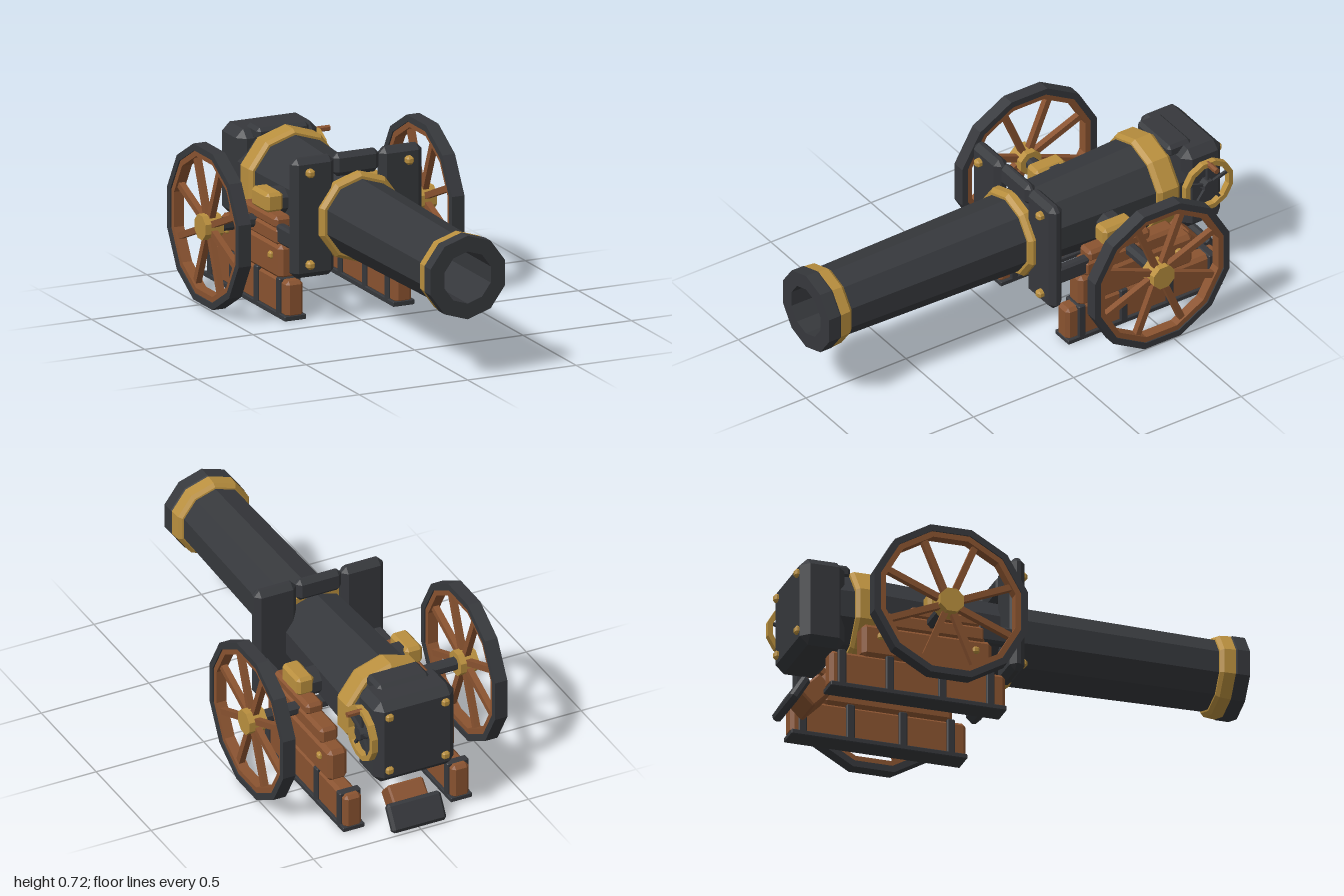
import * as THREE from 'three';
import { ConvexGeometry } from 'three/addons/geometries/ConvexGeometry.js';

const paint = (color) => new THREE.MeshStandardMaterial({ color, flatShading: true });
const iron = paint(0x36383c), gold = paint(0xb98f3e), wood = paint(0x8a5330);

export function createModel() {
  const model = new THREE.Group();

  function add(name, geometry, material, x = 0, y = 0, z = 0, parent = model) {
    const mesh = new THREE.Mesh(geometry, material);
    mesh.name = name;
    mesh.position.set(x, y, z);
    parent.add(mesh);
    return mesh;
  }

  // Box with all edges cut at 45 degrees
  function chamferBox(w, h, d, c) {
    const points = [];
    for (const x of [-1, 1]) for (const y of [-1, 1]) for (const z of [-1, 1]) {
      const [a, b, e] = [w / 2, h / 2, d / 2];
      points.push(new THREE.Vector3(x * a, y * (b - c), z * (e - c)));
      points.push(new THREE.Vector3(x * (a - c), y * b, z * (e - c)));
      points.push(new THREE.Vector3(x * (a - c), y * (b - c), z * e));
    }
    return new ConvexGeometry(points);
  }

  // Chamfered box given by its limits on each axis
  function block(name, material, [x0, x1], [y0, y1], [z0, z1], c = 0.01) {
    return add(name, chamferBox(x1 - x0, y1 - y0, z1 - z0, c), material,
      (x0 + x1) / 2, (y0 + y1) / 2, (z0 + z1) / 2);
  }

  const lathe = (profile, sides, phase = 0) =>
    new THREE.LatheGeometry(profile.map(([r, t]) => new THREE.Vector2(r, t)), sides, phase);

  // Ten-sided turned part along z; profile is [radius, z] from back to front
  const turned = (name, material, profile) =>
    add(name, lathe(profile, 10).rotateX(Math.PI / 2), material, 0, 0.45, 0);

  // Polygonal ring around the x axis; radii measured to the flats
  function ring(outer, inner, width, sides) {
    const k = 1 / Math.cos(Math.PI / sides), h = width / 2;
    const [o, i] = [outer * k, inner * k];
    return lathe([[i, -h], [o, -h], [o, h], [i, h], [i, -h]], sides, Math.PI / sides)
      .rotateZ(Math.PI / 2);
  }

  const rod = (r, length, sides) =>
    new THREE.CylinderGeometry(r, r, length, sides, 1, false, Math.PI / sides).rotateZ(Math.PI / 2);

  // Spokes spread around the x axis
  function spokes(parent, name, material, count, from, to, size, phase) {
    for (let i = 0; i < count; i++) {
      const geometry = new THREE.BoxGeometry(size, to - from, size).translate(0, (from + to) / 2, 0);
      add(name, geometry, material, 0, 0, 0, parent).rotation.x = phase + i * 2 * Math.PI / count;
    }
  }

  // Barrel with open bore
  turned('barrel', iron, [
    [0, -0.8], [0.19, -0.8], [0.195, -0.63], [0.168, -0.02], [0.153, 0.88], [0.165, 0.9],
    [0.18, 0.945], [0.18, 1], [0.112, 1], [0.112, 0.55], [0, 0.55]]);
  turned('muzzleBand', gold, [[0.14, 0.87], [0.16, 0.875], [0.174, 0.89], [0.178, 0.94], [0.14, 0.945]]);
  turned('middleBand', gold, [[0.15, -0.04], [0.195, -0.04], [0.195, -0.012], [0.18, 0.005], [0.15, 0.005]]);
  turned('breechBand', gold, [[0.17, -0.735], [0.205, -0.735], [0.217, -0.72], [0.217, -0.645],
    [0.205, -0.625], [0.17, -0.625]]);

  // Breech block, with its top plate and rear bolts
  block('breechBlock', iron, [-0.187, 0.187], [0.25, 0.643], [-0.967, -0.77], 0.035);
  block('breechTopPlate', iron, [-0.12, 0.12], [0.6, 0.658], [-0.85, -0.73], 0.015);
  for (const x of [-0.13, 0.13]) for (const y of [0.32, 0.58])
    block('breechBolt', gold, [x - 0.017, x + 0.017], [y - 0.017, y + 0.017], [-0.983, -0.955], 0.008);

  // Aiming handwheel on the left side of the breech
  const handwheel = new THREE.Group();
  handwheel.name = 'handwheel';
  handwheel.position.set(0.207, 0.47, -0.868);
  model.add(handwheel);
  add('handwheelRing', ring(0.118, 0.096, 0.028, 12), gold, 0, 0, 0, handwheel);
  add('handwheelHub', rod(0.03, 0.05, 8), iron, -0.005, 0, 0, handwheel);
  spokes(handwheel, 'handwheelSpoke', iron, 5, 0.02, 0.1, 0.012, 0);
  add('handwheelHandle', rod(0.013, 0.07, 6), wood, 0.035, 0.108, 0, handwheel);

  // Shield centre plate
  block('shieldCentrePlate', iron, [-0.105, 0.105], [0.625, 0.725], [-0.085, -0.035], 0.02);

  // Axle through the carriage
  add('axle', rod(0.029, 0.96, 8), iron, 0, 0.365, -0.43);
  add('trunnion', rod(0.06, 0.46, 8), iron, 0, 0.45, -0.39);

  for (const s of [-1, 1]) {
    const span = (a, b) => (s > 0 ? [a, b] : [-b, -a]);

    // Shield plate with bolts and rear bracket
    block('shieldPlate', iron, span(0.105, 0.3), [0.21, 0.725], [-0.09, -0.025], 0.024);
    for (const y of [0.27, 0.665])
      block('shieldBolt', gold, span(0.21, 0.246), [y - 0.018, y + 0.018], [-0.04, 0.002], 0.01);
    block('shieldBracket', iron, span(0.24, 0.285), [0.32, 0.4], [-0.23, -0.07]);

    // Skid with base plate and straps
    block('skid', wood, span(0.21, 0.29), [0.02, 0.178], [-0.88, -0.11], 0.015);
    block('skidBase', iron, span(0.2, 0.3), [0.01, 0.032], [-0.88, -0.11], 0.003);
    for (const z of [-0.18, -0.39, -0.62, -0.83])
      block('skidStrap', iron, span(0.2, 0.3), [0.01, 0.182], [z - 0.018, z + 0.018], 0.005);

    // Stepped carriage cheek
    block('cheekLower', wood, span(0.205, 0.295), [0.17, 0.32], [-0.74, -0.17], 0.018);
    block('cheekUpper', wood, span(0.208, 0.292), [0.31, 0.385], [-0.66, -0.2], 0.014);
    block('cheekTop', wood, span(0.21, 0.29), [0.375, 0.43], [-0.53, -0.22], 0.014);
    block('trunnionCap', gold, span(0.212, 0.292), [0.425, 0.51], [-0.45, -0.295], 0.014);
    for (const z of [-0.245, -0.66])
      block('cheekBolt', gold, span(0.285, 0.309), [0.25, 0.28], [z - 0.015, z + 0.015], 0.007);

    // Spoked wheel
    const wheel = new THREE.Group();
    wheel.name = 'wheel';
    wheel.position.set(s * 0.492, 0.365, -0.43);
    model.add(wheel);
    add('tyre', ring(0.336, 0.308, 0.058, 12), iron, 0, 0, 0, wheel);
    add('rim', ring(0.31, 0.284, 0.046, 12), wood, 0, 0, 0, wheel);
    add('hub', rod(0.056, 0.084, 8), gold, 0, 0, 0, wheel);
    spokes(wheel, 'spoke', wood, 8, 0.03, 0.295, 0.027, Math.PI / 8);
  }

  // Tilted rear block and its foot plate
  add('trailBlock', chamferBox(0.164, 0.127, 0.094, 0.008), wood, 0, 0.0875, -0.8675).rotation.x = Math.PI / 4;
  add('footPlate', chamferBox(0.25, 0.124, 0.042, 0.012), iron, 0, 0.066, -0.952).rotation.x = 0.55;

  return model;
}
